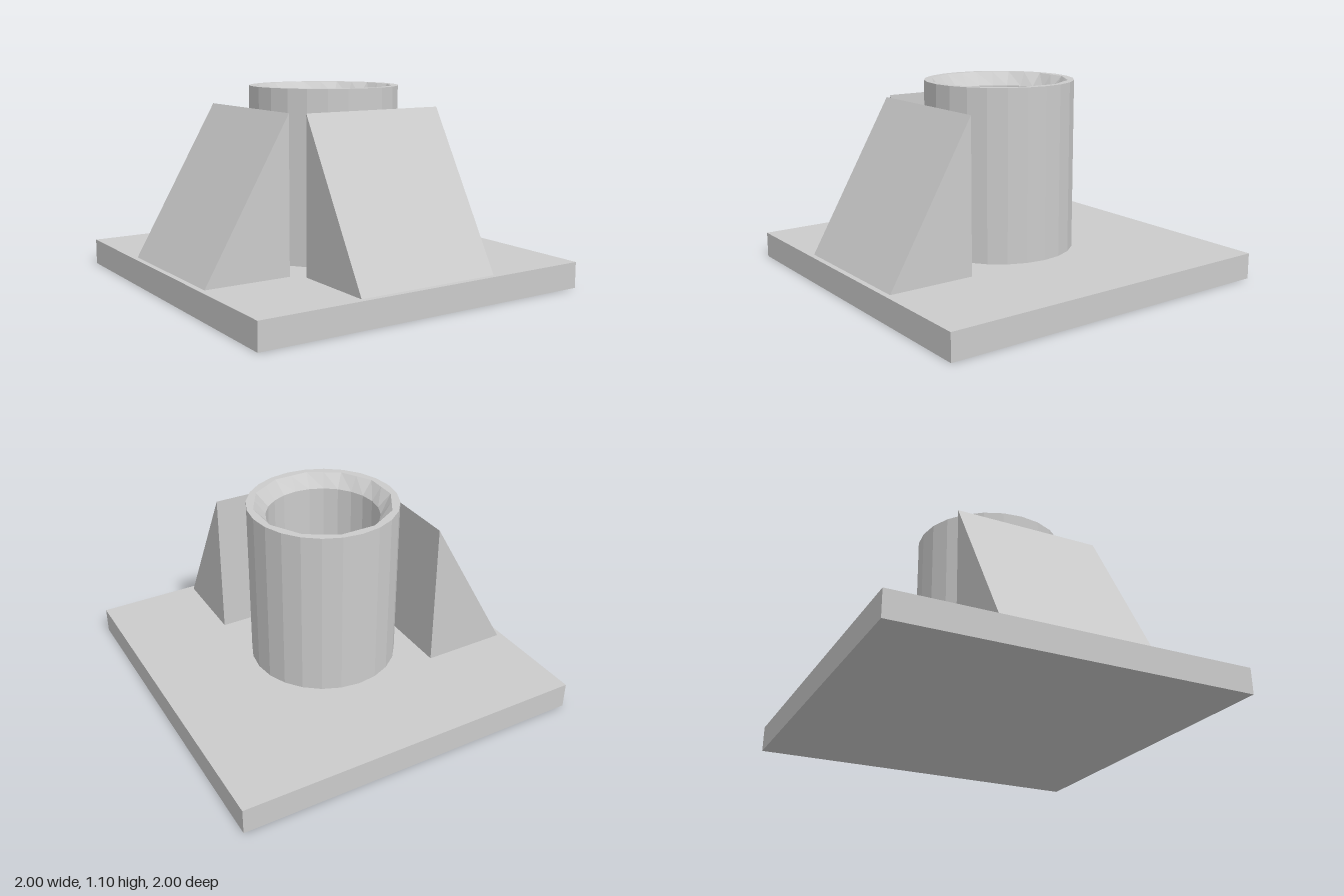
import * as THREE from 'three';

const BASE = 0.146;   // plate thickness
const RADIUS = 0.42;  // socket outer radius
const SIDES = 24;

export function createModel() {
  const model = new THREE.Group();
  const material = new THREE.MeshStandardMaterial({ color: 0xcccccc, flatShading: true });
  const add = (name, geometry) => {
    const mesh = new THREE.Mesh(geometry, material);
    mesh.name = name;
    model.add(mesh);
    return mesh;
  };

  // Square base plate
  add('basePlate', new THREE.BoxGeometry(2, BASE, 2)).position.y = BASE / 2;

  // Hollow socket: outer wall, rim, chamfer, bore down to the plate
  const rim = 0.385, top = 1.1;
  const profile = [
    [RADIUS, BASE], [RADIUS, top], [rim, top], [0.315, 1.025], [0.315, BASE],
  ].map(([r, y]) => new THREE.Vector2(r, y));
  const socket = new THREE.LatheGeometry(profile, SIDES);

  // The chamfer's upper edge is a 12-sided ring: pull every second corner onto its chord
  const pos = socket.attributes.position;
  const chord = Math.cos((2 * Math.PI) / SIDES);
  for (let j = 0; j <= SIDES; j += 2) {
    const i = j * profile.length + 2;
    pos.setX(i, pos.getX(i) * chord);
    pos.setZ(i, pos.getZ(i) * chord);
  }
  add('socket', socket);

  // Two wedge supports, one beside the socket and one in front of it
  const triangle = new THREE.Shape([
    new THREE.Vector2(-0.97, BASE),
    new THREE.Vector2(-0.483, BASE),
    new THREE.Vector2(-0.483, 0.99),
  ]);
  const wedge = new THREE.ExtrudeGeometry(triangle, { depth: 2 * RADIUS, bevelEnabled: false });
  wedge.translate(0, 0, -RADIUS);
  add('sideWedge', wedge);
  add('frontWedge', wedge).rotation.y = Math.PI / 2;

  return model;
}
